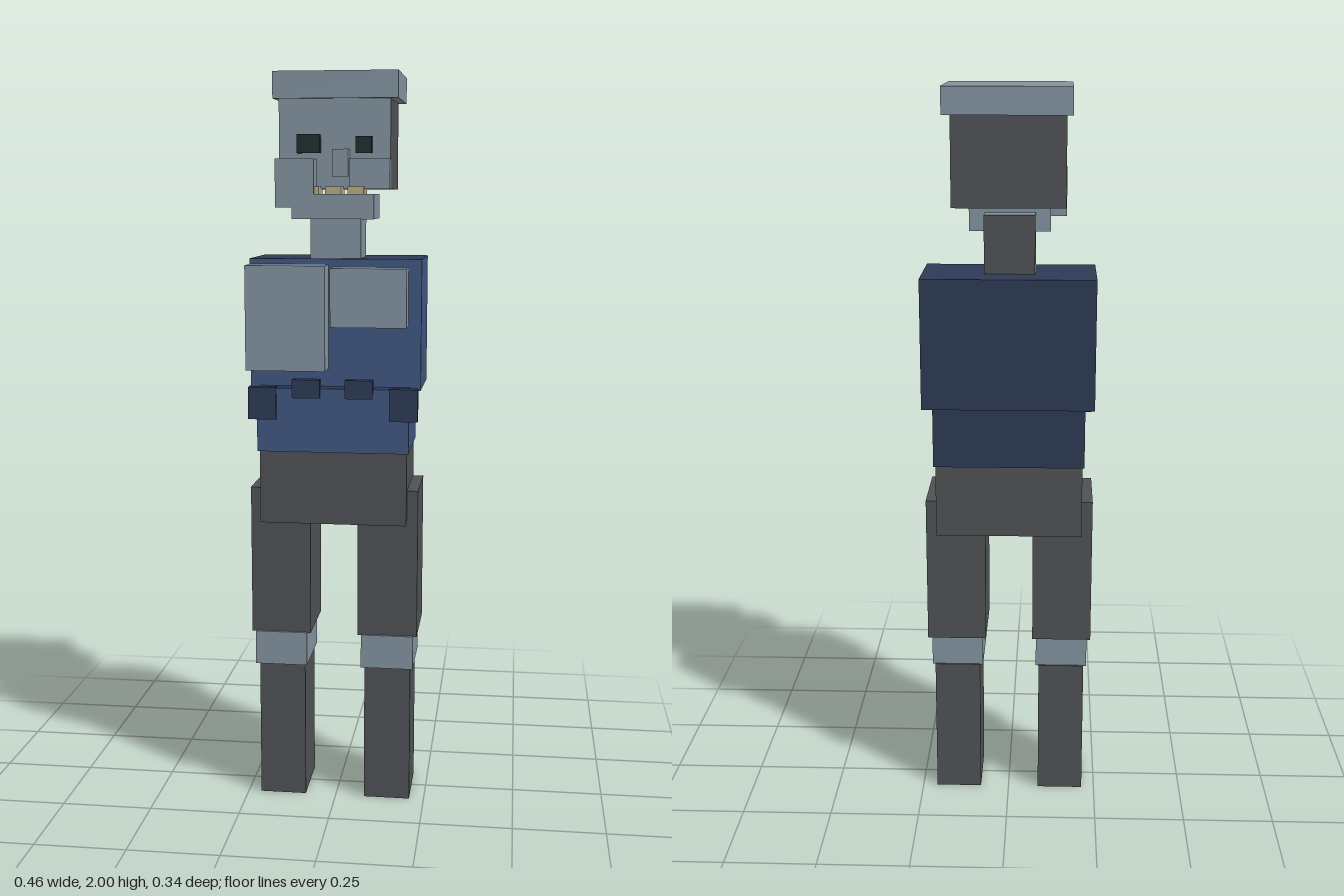
import * as THREE from 'three';

const paint = (name, color) => {
  const m = new THREE.MeshStandardMaterial({ color });
  m.name = name;
  return m;
};

export function createModel() {
  const model = new THREE.Group();
  model.name = 'blockFigure';

  const skin = paint('greyBlueSkin', 0x82939f);
  const blue = paint('shirtBlue', 0x40567f);
  const navy = paint('shirtNavy', 0x2d3a55);
  const dark = paint('darkGrey', 0x4f5154);
  const eye = paint('eyeBlack', 0x1e2c2c);
  const bone = paint('toothTan', 0xb8a880);

  // Box given by its limits along x, y and z; material may be a list of six (+x -x +y -y +z -z)
  const box = (parent, name, material, [x0, x1], [y0, y1], [z0, z1]) => {
    const mesh = new THREE.Mesh(new THREE.BoxGeometry(x1 - x0, y1 - y0, z1 - z0), material);
    mesh.position.set((x0 + x1) / 2, (y0 + y1) / 2, (z0 + z1) / 2);
    mesh.name = name;
    parent.add(mesh);
  };
  const group = (name) => {
    const g = new THREE.Group();
    g.name = name;
    model.add(g);
    return g;
  };

  // Head: dark hair all round, bare face in front, flat cap
  const head = group('head');
  box(head, 'skull', [dark, dark, dark, dark, skin, dark], [-0.15, 0.145], [1.697, 1.93], [-0.14, 0.093]);
  box(head, 'cap', skin, [-0.165, 0.165], [1.93, 2], [-0.172, 0.104]);
  box(head, 'rightCheek', skin, [-0.153, -0.051], [1.65, 1.775], [0.07, 0.146]);
  box(head, 'leftCheek', skin, [0.04, 0.147], [1.698, 1.775], [0.07, 0.127]);
  box(head, 'nose', skin, [-0.004, 0.038], [1.73, 1.8], [0.08, 0.132]);
  box(head, 'rightEye', eye, [-0.1, -0.039], [1.79, 1.838], [0.08, 0.115]);
  box(head, 'leftEye', eye, [0.055, 0.097], [1.79, 1.833], [0.08, 0.118]);
  box(head, 'jaw', skin, [-0.11, 0.107], [1.62, 1.685], [-0.01, 0.145]);
  for (const x of [-0.08, -0.021, 0.038]) {
    box(head, 'tooth', bone, [x, x + 0.042], [1.675, 1.704], [0.065, 0.141]);
  }
  box(head, 'neck', [skin, skin, skin, skin, skin, dark], [-0.07, 0.065], [1.51, 1.67], [-0.063, 0.072]);

  // Torso: blue front and sides, navy top, bottom and back
  const torso = group('torso');
  const shirt = [blue, blue, navy, navy, blue, navy];
  box(torso, 'chest', shirt, [-0.232, 0.23], [1.165, 1.515], [-0.147, 0.094]);
  box(torso, 'waist', shirt, [-0.207, 0.202], [1, 1.173], [-0.13, 0.144]);
  box(torso, 'rightChestPatch', skin, [-0.232, -0.019], [1.222, 1.5], [0.08, 0.17]);
  box(torso, 'leftChestPatch', skin, [-0.007, 0.195], [1.338, 1.493], [0.08, 0.159]);

  // Torn shirt flaps along the waist
  for (const x of [-0.23, 0.15]) {
    box(torso, 'outerFlap', navy, [x, x + 0.076], [1.088, 1.175], [0.123, 0.15]);
  }
  for (const x of [-0.111, 0.031]) {
    box(torso, 'innerFlap', navy, [x, x + 0.075], [1.147, 1.197], [0.123, 0.15]);
  }

  // Hips and legs
  const lower = group('legs');
  box(lower, 'hips', dark, [-0.202, 0.197], [0.8, 1], [-0.122, 0.133]);
  for (const [side, x] of [['right', -0.15], ['left', 0.145]]) {
    box(lower, side + 'Thigh', dark, [x - 0.082, x + 0.082], [0.482, 0.893], [-0.101, 0.111]);
    box(lower, side + 'Knee', skin, [x - 0.072, x + 0.072], [0.39, 0.484], [-0.08, 0.118]);
    box(lower, side + 'Shin', dark, [x - 0.064, x + 0.064], [0, 0.392], [-0.084, 0.097]);
  }

  return model;
}
